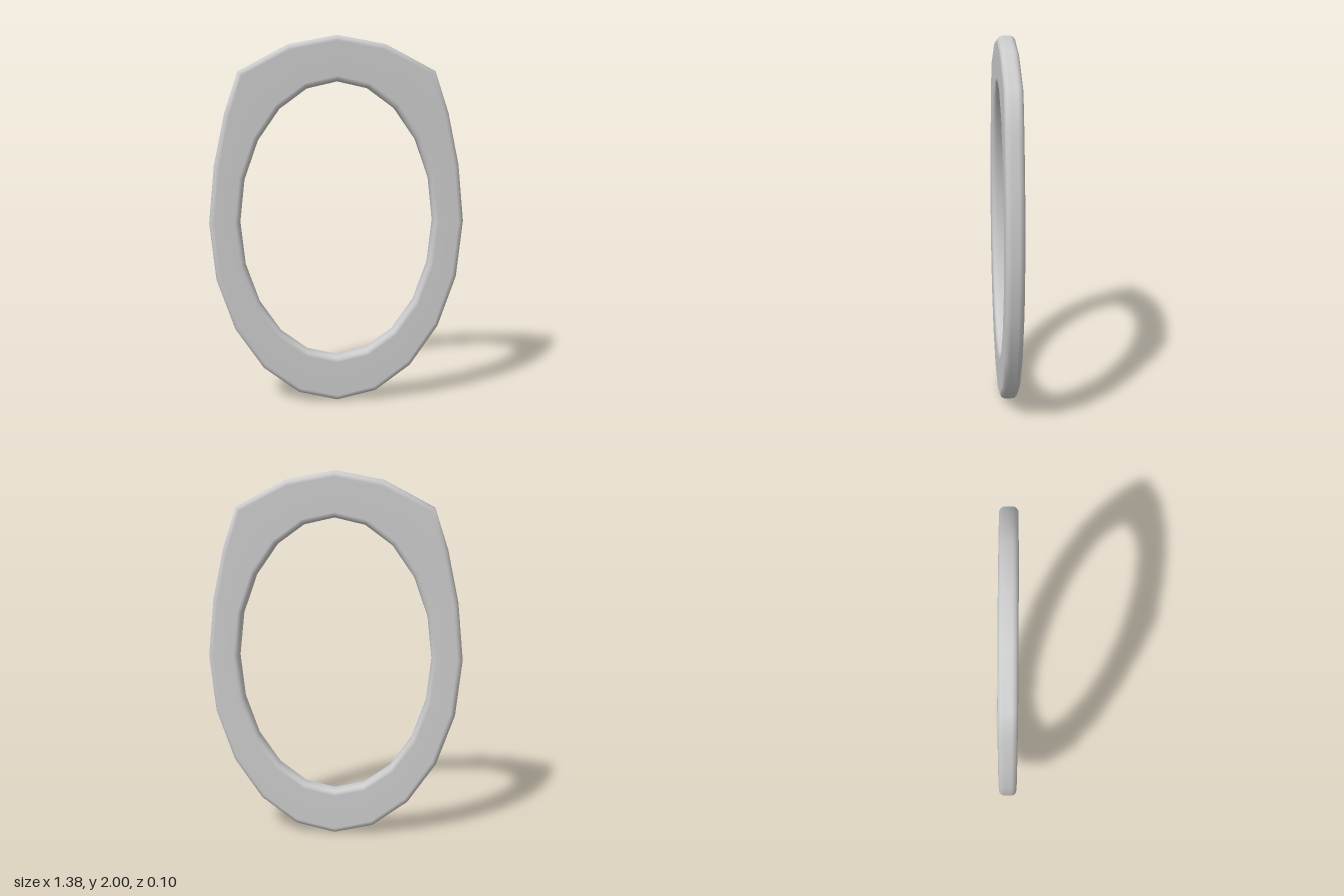
import * as THREE from 'three';

const SIDES = 20, HALF = 0.048, R = 0.03, ARC = 4;

// Widening of the outer outline near the top, giving the two shoulders
const shoulder = [1, 1.22, 1.3, 1.075, 1.005];

// Rounded-rectangle section: w is the distance inward from the outer rim, z the depth
function section(width) {
  const corners = [[R, HALF - R, 90], [R, R - HALF, 180], [width - R, R - HALF, 270], [width - R, HALF - R, 360]];
  return corners.flatMap(([w, z, start]) =>
    Array.from({ length: ARC + 1 }, (_, k) => {
      const a = THREE.MathUtils.degToRad(start + 90 * k / ARC);
      return [w + R * Math.cos(a), z + R * Math.sin(a)];
    }));
}

function ringGeometry() {
  const positions = [], index = [];
  const n = 4 * (ARC + 1);
  for (let i = 0; i < SIDES; i++) {
    const a = i / SIDES * Math.PI * 2;
    const widen = shoulder[Math.min(i, SIDES - i)] ?? 1;
    const outer = new THREE.Vector2(0.69 * Math.sin(a) * widen, 1 + Math.cos(a));
    const inner = new THREE.Vector2(0.523 * Math.sin(a), 1.003 + 0.753 * Math.cos(a));
    const inward = inner.clone().sub(outer);
    const width = inward.length();
    inward.normalize();
    for (const [w, z] of section(width)) {
      positions.push(outer.x + inward.x * w, outer.y + inward.y * w, z);
    }
    // Join this section to the next one around the ring
    const next = (i + 1) % SIDES;
    for (let j = 0; j < n; j++) {
      const k = (j + 1) % n;
      const p = i * n + j, q = next * n + j, r = next * n + k, s = i * n + k;
      index.push(p, q, r, p, r, s);
    }
  }
  const geometry = new THREE.BufferGeometry();
  geometry.setAttribute('position', new THREE.Float32BufferAttribute(positions, 3));
  geometry.setIndex(index);
  geometry.computeVertexNormals();
  return geometry;
}

export function createModel() {
  const group = new THREE.Group();
  group.name = 'ovalFrame';
  const ring = new THREE.Mesh(ringGeometry(), new THREE.MeshStandardMaterial({ color: 0xcccccc }));
  ring.name = 'ring';
  group.add(ring);
  return group;
}
